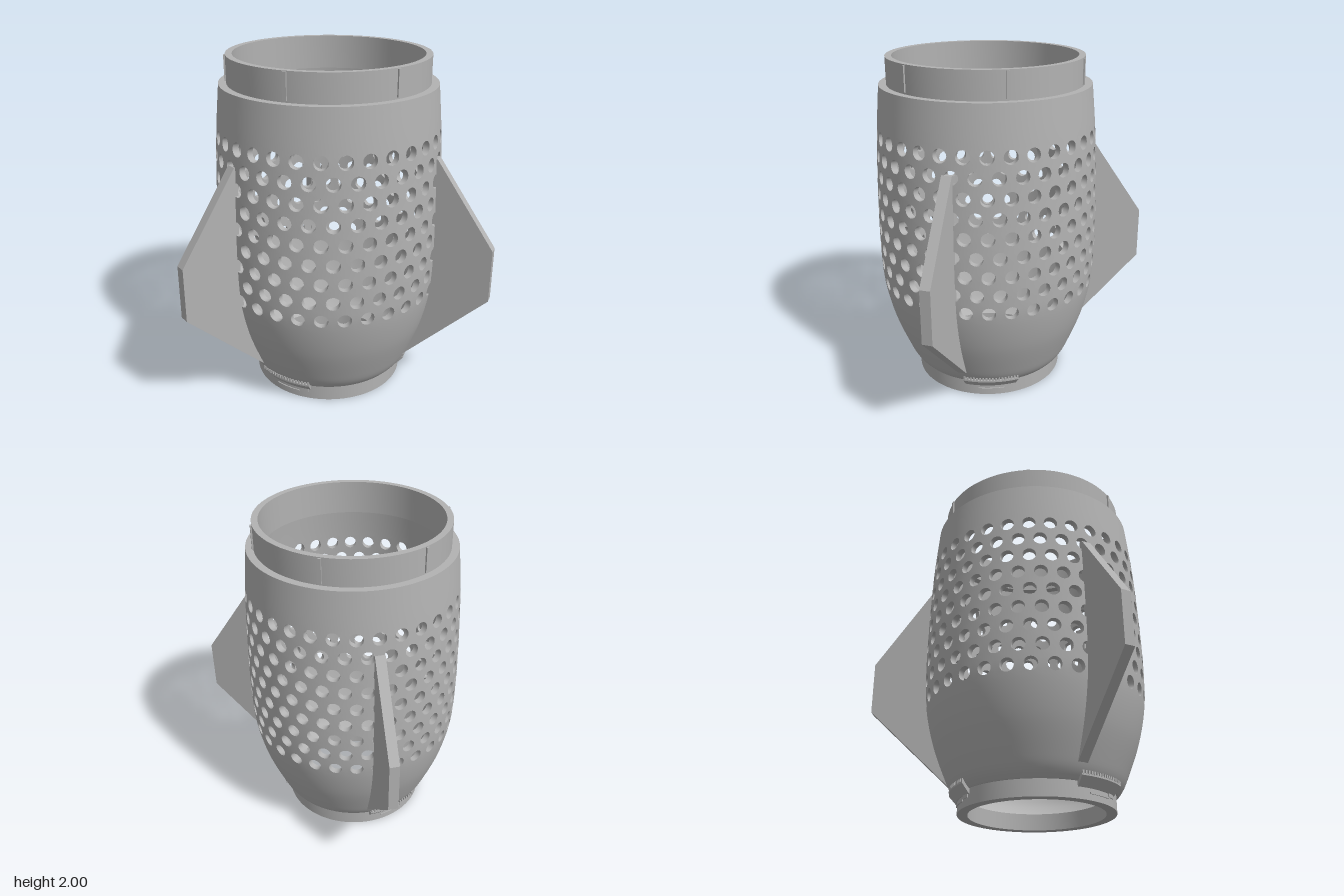
import * as THREE from 'three';
import { mergeGeometries, toCreasedNormals } from 'three/addons/utils/BufferGeometryUtils.js';

const RAD = Math.PI / 180;
const SEGMENTS = 128;
const COLUMNS = 32, ROWS = 9, PITCH = 0.1125, FIRST_ROW = 0.66, HOLE = 0.04;
const BAND_LOW = FIRST_ROW - PITCH / 2;
const BAND_HIGH = BAND_LOW + ROWS * PITCH;
const WALL = 0.038;

// Outer silhouette of the barrel, as radius and height
const silhouette = new THREE.SplineCurve([
  [0.462, 0.095], [0.492, 0.13], [0.527, 0.2], [0.603, 0.4], [0.65, 0.6], [0.664, 0.77],
  [0.666, 1.0], [0.658, 1.3], [0.645, 1.56], [0.62, 1.84],
].map(([r, y]) => new THREE.Vector2(r, y))).getPoints(180);

function radiusAt(y) {
  const i = THREE.MathUtils.clamp(silhouette.findIndex((p) => p.y >= y), 1, silhouette.length - 1);
  const a = silhouette[i - 1], b = silhouette[i];
  return THREE.MathUtils.mapLinear(y, a.y, b.y, a.x, b.x);
}

// Points along the barrel wall between two heights
function wall(from, to, inset, steps = 16) {
  return Array.from({ length: steps + 1 }, (_, i) => {
    const y = from + (to - from) * i / steps;
    return [radiusAt(y) - inset, y];
  });
}

function lathe(points, start = 0, length = 360, segments = SEGMENTS) {
  const profile = points.map(([r, y]) => new THREE.Vector2(r, y));
  return new THREE.LatheGeometry(profile, segments, start * RAD, length * RAD);
}

// Band of staggered round holes: one square tile with a hole, repeated
function perforatedBand() {
  const positions = [], index = [], N = 16;
  const square = (k) => THREE.MathUtils.clamp(Math.abs(((k + N) % N) - 8) - 4, -2, 2) / 2;
  const halfAngle = Math.PI / COLUMNS;
  const add = (phi, y, inset) => {
    const r = radiusAt(y) - inset;
    positions.push(r * Math.sin(phi), y, r * Math.cos(phi));
  };
  for (let row = 0; row < ROWS; row++) {
    for (let col = 0; col < COLUMNS; col++) {
      const phi = (2 * col + (row % 2)) * halfAngle;
      const y = FIRST_ROW + row * PITCH;
      const base = positions.length / 3;
      const hole = HOLE / radiusAt(y);
      for (let k = 0; k < N; k++) {
        const a = k * 2 * Math.PI / N;
        for (const inset of [0, WALL]) {
          add(phi + hole * Math.cos(a), y + HOLE * Math.sin(a), inset);
          add(phi + halfAngle * square(k), y + PITCH / 2 * square(k - 4), inset);
        }
      }
      for (let k = 0; k < N; k++) {
        const p = base + 4 * k, q = base + 4 * ((k + 1) % N);
        index.push(p, p + 1, q + 1, p, q + 1, q);             // outside
        index.push(p + 2, q + 3, p + 3, p + 2, q + 2, q + 3); // inside
        index.push(p, q, q + 2, p, q + 2, p + 2);             // hole edge
      }
    }
  }
  const geometry = new THREE.BufferGeometry();
  geometry.setAttribute('position', new THREE.Float32BufferAttribute(positions, 3));
  geometry.setIndex(index);
  return geometry;
}

// Joins pieces and keeps sharp edges; enlarged meanwhile so close points stay apart
function join(pieces, crease = 0.5) {
  const bare = pieces.map((g) => {
    const piece = g.index ? g.toNonIndexed() : g.clone();
    piece.deleteAttribute('uv');
    piece.deleteAttribute('normal');
    return piece;
  });
  const merged = mergeGeometries(bare).scale(20, 20, 20);
  return toCreasedNormals(merged, crease).scale(0.05, 0.05, 0.05);
}

// Lathed sector with closed ends
function sector(section, start, length) {
  const shape = new THREE.Shape(section.map(([r, y]) => new THREE.Vector2(r, y)));
  const caps = [start, start + length].map((a) => new THREE.ShapeGeometry(shape).rotateY((a - 90) * RAD));
  return join([lathe([...section, section[0]], start, length, 16), ...caps]);
}

export function createModel() {
  const grey = new THREE.MeshStandardMaterial({ color: 0xb2b2b2, side: THREE.DoubleSide });
  grey.name = 'grey plastic';
  const group = new THREE.Group();
  group.name = 'perforatedBasket';
  const axis = new THREE.Group();
  axis.name = 'basket';
  axis.position.z = 0.166;
  group.add(axis);
  const add = (name, geometry, angle = 0) => {
    const mesh = new THREE.Mesh(geometry, grey);
    mesh.name = name;
    mesh.rotation.y = angle * RAD;
    axis.add(mesh);
    return mesh;
  };

  // Barrel: lower bowl and neck, perforated band, shoulder and collar
  const bowl = lathe([
    ...wall(BAND_LOW, 0.2, WALL), [0.47, 0.16], [0.395, 0.1], [0.395, 0],
    [0.455, 0], [0.455, 0.095], ...wall(0.095, BAND_LOW, 0, 24),
  ]);
  const shoulder = lathe([
    ...wall(BAND_HIGH, 1.84, 0, 6), [0.575, 1.84], [0.575, 2], [0.537, 2], [0.537, 1.8],
    ...wall(1.8, BAND_HIGH, WALL, 6),
  ]);
  add('barrel', join([bowl, perforatedBand(), shoulder]));

  // Three fins with their inner edge sunk into the barrel wall
  const outline = [[1, 0.645], [1, 0.96], [0.658, 1.46], ...wall(1.46, 0.145, 0.018, 30)];
  const fin = new THREE.ExtrudeGeometry(
    new THREE.Shape(outline.map(([r, y]) => new THREE.Vector2(r, y))),
    { depth: 0.06, bevelEnabled: false },
  ).translate(0, 0, -0.03);
  for (const angle of [60, 180, 300]) add('fin', fin, angle - 90);

  // Six narrow ribs around the collar
  const rib = new THREE.BoxGeometry(0.02, 0.145, 0.02).translate(0, 1.9225, 0.574);
  for (let i = 0; i < 6; i++) add('collarRib', rib, 30 + 60 * i);

  // Three bayonet lugs under the bowl, each with a stepped catch and fine teeth
  const lug = sector([[0.45, 0.065], [0.46, 0.065], [0.503, 0.115], [0.503, 0.125], [0.45, 0.125]], -60, 39);
  const catchStep = sector([[0.45, 0.035], [0.461, 0.035], [0.461, 0.045], [0.45, 0.045]], -50, 20);
  const catchEnd = sector([[0.45, 0.045], [0.461, 0.045], [0.461, 0.066], [0.45, 0.066]], -30, 7);
  const teeth = join(Array.from({ length: 18 }, (_, i) => new THREE.BoxGeometry(0.01, 0.02, 0.02)
    .translate(0, 0.133, 0.494).rotateY((-59 + i * 2.2) * RAD)));
  for (const angle of [0, 120, 240]) {
    add('bayonetLug', lug, angle);
    add('catchStep', catchStep, angle);
    add('catchEnd', catchEnd, angle);
    add('lugTeeth', teeth, angle);
  }
  return group;
}
